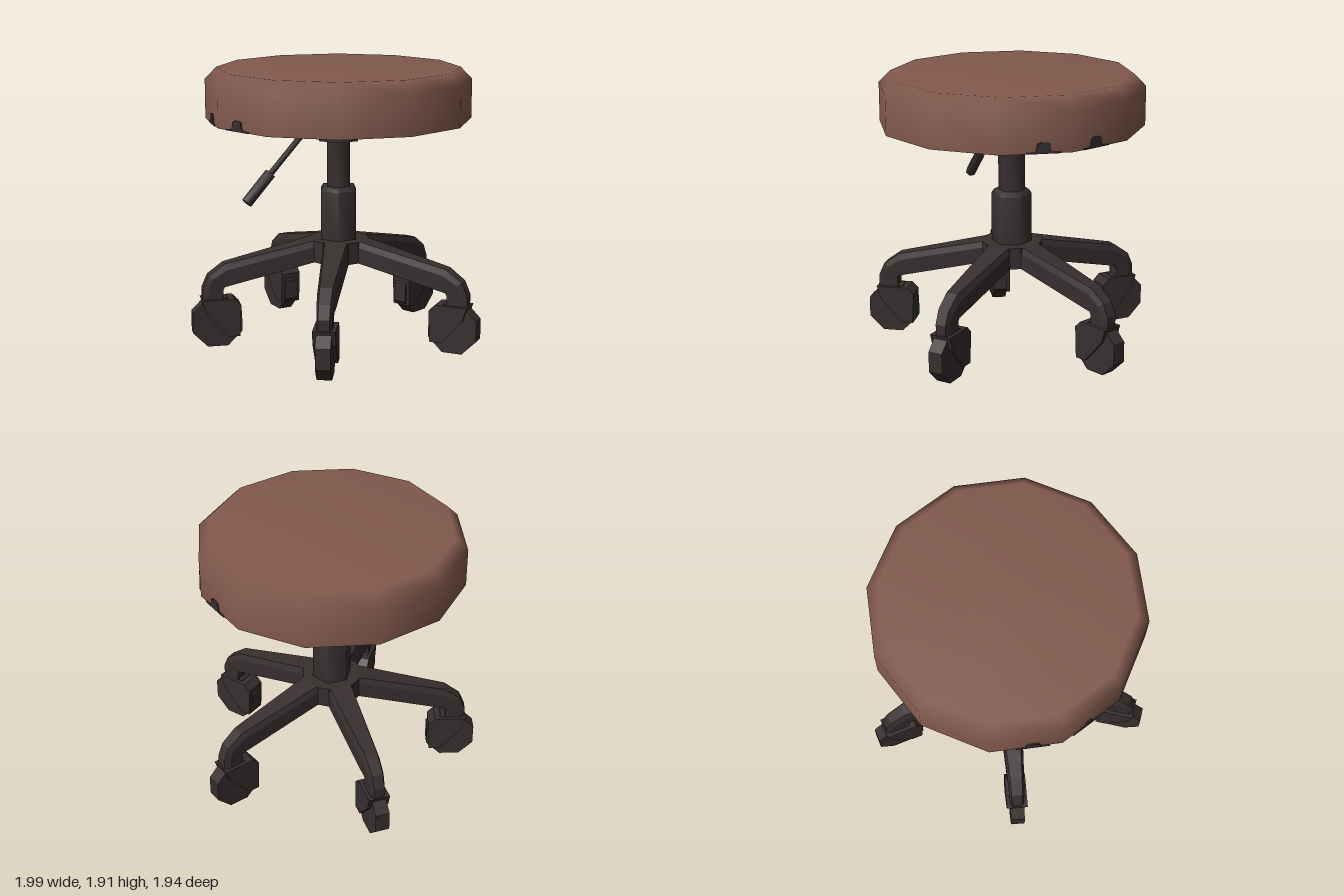
import * as THREE from 'three';
import { toCreasedNormals } from 'three/addons/utils/BufferGeometryUtils.js';

export function createModel() {
  const leather = new THREE.MeshStandardMaterial({ color: 0x82594d });
  leather.name = 'brownLeather';
  const plastic = new THREE.MeshStandardMaterial({ color: 0x382f2f });
  plastic.name = 'darkPlastic';

  const model = new THREE.Group();
  model.name = 'stool';
  const rig = new THREE.Group();
  rig.name = 'stoolAssembly';
  rig.position.z = 0.06;
  model.add(rig);

  const add = (parent, name, geometry, material = plastic) => {
    const mesh = new THREE.Mesh(geometry, material);
    mesh.name = name;
    parent.add(mesh);
    return mesh;
  };
  const flat = (geometry) => toCreasedNormals(geometry, 0.2);
  const lathe = (points, sides) =>
    new THREE.LatheGeometry(points.map(([r, y]) => new THREE.Vector2(r, y)), sides);
  const extrude = (points, depth) =>
    new THREE.ExtrudeGeometry(new THREE.Shape(points.map(([x, y]) => new THREE.Vector2(x, y))),
      { depth, bevelEnabled: false });

  // Cushion, with a dark underside
  add(rig, 'cushion', lathe([[0.91, 1.56], [0.91, 1.83], [0.83, 1.91], [0, 1.91]], 12), leather);
  add(rig, 'seatUnderside', new THREE.CircleGeometry(0.91, 12).rotateX(Math.PI / 2)).position.y = 1.56;

  // Small dark brackets showing through the cushion sides
  const bracket = [[-0.11, 1.56], [0.11, 1.56], [0.11, 1.568], [0.05, 1.572],
    [0.04, 1.61], [0.045, 1.62], [0.02, 1.632], [-0.02, 1.632], [-0.045, 1.62], [-0.04, 1.61],
    [-0.05, 1.572], [-0.11, 1.568]];
  for (const sx of [-1, 1]) for (const sz of [-1, 1]) {
    const mesh = add(rig, 'seatBracket', extrude(bracket, 0.008));
    mesh.position.set(sx * 0.861, 0, sz * 0.185);
    mesh.rotation.y = Math.atan2(sx * Math.cos(Math.PI / 12), sz * Math.sin(Math.PI / 12));
  }

  // Hexagonal gas-lift column
  const hexPart = (name, rings) => {
    add(rig, name, toCreasedNormals(lathe(rings, 6).rotateY(Math.PI / 6), 1.1));
  };
  hexPart('lowerColumn', [[0.14, 0.7], [0.14, 1.06], [0.122, 1.09], [0, 1.09]]);
  hexPart('piston', [[0.092, 1.08], [0.092, 1.42]]);
  hexPart('seatMount', [[0, 1.41], [0.153, 1.41], [0.153, 1.56]]);

  // Height lever
  const rod = (name, a, b, radius) => {
    const from = new THREE.Vector3(...a), to = new THREE.Vector3(...b);
    const dir = to.clone().sub(from);
    const mesh = add(rig, name,
      toCreasedNormals(new THREE.CylinderGeometry(radius, radius, dir.length(), 6), 1.1));
    mesh.position.copy(from).add(to).multiplyScalar(0.5);
    mesh.quaternion.setFromUnitVectors(new THREE.Vector3(0, 1, 0), dir.normalize());
  };
  rod('leverStem', [-0.13, 1.483, 0], [-0.275, 1.483, 0], 0.02);
  rod('leverRod', [-0.265, 1.487, 0], [-0.54, 1.21, 0], 0.02);
  rod('leverGrip', [-0.53, 1.225, 0], [-0.71, 1.04, 0], 0.038);

  // Ten-sided hub joining the legs
  const HUB_R = 0.19, HUB_W = 0.089;
  const hubPoints = [];
  for (let k = 0; k < 5; k++) {
    const a = Math.PI / 2 + (k * 2 * Math.PI) / 5;
    for (const w of [-HUB_W, HUB_W]) {
      hubPoints.push([HUB_R * Math.cos(a) - w * Math.sin(a), HUB_R * Math.sin(a) + w * Math.cos(a)]);
    }
  }
  add(rig, 'hub', extrude(hubPoints, 0.15).rotateX(-Math.PI / 2)).position.y = 0.57;

  // Leg loft: each section is [upper radius, upper y, lower radius, lower y, half width, top ratio]
  const sections = [
    [HUB_R, 0.72, HUB_R, 0.57, HUB_W, 0.85],
    [0.81, 0.58, 0.76, 0.433, 0.06, 0.7],
    [0.92, 0.5, 0.81, 0.42, 0.055, 0.7],
    [0.96, 0.41, 0.82, 0.4, 0.052, 0.7],
    [0.96, 0.33, 0.82, 0.33, 0.052, 0.7],
  ];
  const positions = [], index = [];
  sections.forEach(([ur, uy, lr, ly, w, ratio], s) => {
    const ring = [[-w, 0], [w, 0], [w, 0.72], [w * ratio, 1], [-w * ratio, 1], [-w, 0.72]];
    ring.forEach(([x, t], i) => {
      positions.push(x, ly + (uy - ly) * t, lr + (ur - lr) * t);
      if (s === sections.length - 1) return;
      const j = (i + 1) % 6, a = s * 6 + i, b = s * 6 + j;
      index.push(a, b, b + 6, a, b + 6, a + 6);
    });
  });
  const loft = new THREE.BufferGeometry();
  loft.setAttribute('position', new THREE.Float32BufferAttribute(positions, 3));
  loft.setIndex(index);
  const legGeometry = flat(loft);

  // Caster hood and eight-sided wheel
  const hoodGeometry = extrude([[0.71, 0.07], [0.79, 0.07], [0.94, 0.24], [0.97, 0.335],
    [0.745, 0.335], [0.7, 0.29]], 0.15).translate(0, 0, -0.075).rotateY(-Math.PI / 2);
  const wheelGeometry = flat(new THREE.CylinderGeometry(0.184, 0.184, 0.1, 8)
    .rotateY(Math.PI / 8).rotateZ(Math.PI / 2).translate(0, 0.17, 0.862));

  for (let k = 0; k < 5; k++) {
    const leg = new THREE.Group();
    leg.name = 'legWithCaster';
    leg.rotation.y = Math.PI + (k * 2 * Math.PI) / 5;
    add(leg, 'leg', legGeometry);
    add(leg, 'casterHood', hoodGeometry);
    add(leg, 'casterWheel', wheelGeometry);
    rig.add(leg);
  }
  return model;
}
